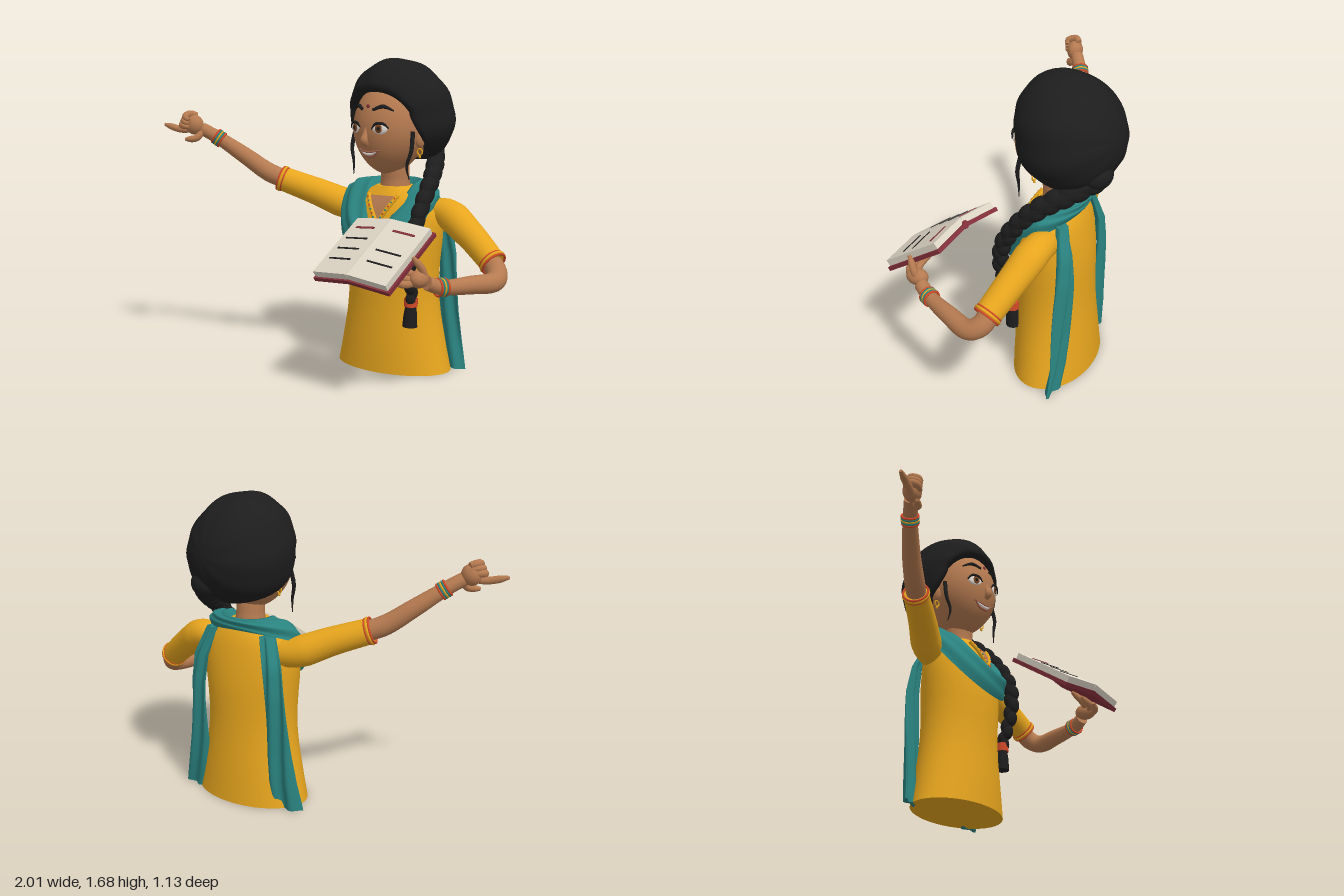
import * as THREE from 'three';

const V = (x, y, z) => new THREE.Vector3(x, y, z);
const TAU = Math.PI * 2;

function material(name, color, open) {
  const m = new THREE.MeshStandardMaterial({ color, side: open ? THREE.DoubleSide : THREE.FrontSide });
  m.name = name;
  return m;
}

// Skin a surface over closed rings of points, optionally capping both ends
function loft(rings, caps = true) {
  const n = rings[0].length, pos = [], idx = [];
  rings.forEach(r => r.forEach(p => pos.push(p.x, p.y, p.z)));
  for (let i = 0; i < rings.length - 1; i++) for (let j = 0; j < n; j++) {
    const a = i * n + j, b = i * n + (j + 1) % n;
    idx.push(a, b, b + n, a, b + n, a + n);
  }
  if (caps) [rings[0], rings[rings.length - 1]].forEach((r, end) => {
    const base = pos.length / 3, mid = V(0, 0, 0);
    r.forEach(p => { pos.push(p.x, p.y, p.z); mid.addScaledVector(p, 1 / n); });
    pos.push(mid.x, mid.y, mid.z);
    for (let j = 0; j < n; j++) {
      const a = base + j, b = base + (j + 1) % n;
      end ? idx.push(a, b, base + n) : idx.push(b, a, base + n);
    }
  });
  const g = new THREE.BufferGeometry();
  g.setAttribute('position', new THREE.Float32BufferAttribute(pos, 3));
  g.setIndex(idx);
  g.computeVertexNormals();
  return g;
}

const ring = (n, f) => Array.from({ length: n }, (_, j) => f(j / n * TAU));
const mix = THREE.MathUtils.lerp;

// Sample a list of numbers at u in 0..1
function sample(list, u) {
  const t = u * (list.length - 1), i = Math.min(Math.floor(t), list.length - 2);
  return mix(list[i], list[i + 1], t - i);
}

// Tapered tube through points
function limb(points, radii, seg = 20, sides = 14) {
  const curve = new THREE.CatmullRomCurve3(points.map(p => V(...p)));
  const fr = curve.computeFrenetFrames(seg, false), rings = [];
  for (let i = 0; i <= seg; i++) {
    const c = curve.getPointAt(i / seg), r = sample(radii, i / seg);
    rings.push(ring(sides, a => c.clone().addScaledVector(fr.normals[i], r * Math.cos(a)).addScaledVector(fr.binormals[i], r * Math.sin(a))));
  }
  return loft(rings);
}

export function createModel() {
  const model = new THREE.Group();
  const skin = material('skin', 0xb57a50), hairMat = material('black hair', 0x1d1d1d, true);
  const yellow = material('marigold cloth', 0xe8a61e), teal = material('teal cloth', 0x2a8380, true);
  const maroon = material('maroon', 0x84303a), cream = material('paper', 0xe0d8c8);
  const orange = material('orange trim', 0xd24a28), brown = material('brown iris', 0x7a4420);
  const lip = material('lips', 0xa0604a), white = material('eye white', 0xe8e0da);

  const add = (parent, name, geo, mat) => {
    const m = new THREE.Mesh(geo, mat);
    m.name = name;
    parent.add(m);
    return m;
  };
  const ball = (parent, name, p, s, mat) => {
    const m = add(parent, name, new THREE.SphereGeometry(1, 24, 16), mat);
    m.position.set(...p);
    m.scale.set(...s);
    return m;
  };
  // Ring worn around a limb
  const band = (name, p, dir, r, tube, mat) => {
    const m = add(model, name, new THREE.TorusGeometry(r, tube, 8, 28), mat);
    m.position.copy(p);
    m.quaternion.setFromUnitVectors(V(0, 0, 1), dir);
  };

  // Torso: y, half width, centre z, half depth
  const body = [[0, .335, -.225, .215], [.1, .312, -.222, .212], [.2, .292, -.22, .208], [.3, .273, -.218, .202], [.4, .262, -.215, .198],
    [.5, .26, -.212, .198], [.6, .267, -.21, .2], [.7, .28, -.21, .195], [.8, .29, -.21, .18], [.87, .285, -.213, .162], [.92, .25, -.217, .145], [.96, .19, -.22, .122], [1, .1, -.22, .1]];
  add(model, 'tunic', loft(body.map(([y, rx, cz, rz]) => ring(56, a => V(.278 + rx * Math.sin(a), y, cz + rz * Math.cos(a))))), yellow);
  add(model, 'neck', limb([[.278, .92, -.22], [.278, 1.02, -.22], [.28, 1.15, -.21]], [.09, .078, .078]), skin);

  // Neckline: skin patch, trim and beads
  const neckZ = y => y < .9 ? mix(-.028, -.06, (y - .8) / .1) : mix(-.06, -.1, (y - .9) / .06);
  const patch = new THREE.BufferGeometry().setFromPoints([[0, .82], [.05, .9], [-.05, .9], [.08, .955], [-.08, .955]].map(([x, y]) => V(.278 + x, y, neckZ(y) + .01)));
  patch.setIndex([0, 1, 2, 2, 1, 3, 2, 3, 4]);
  patch.computeVertexNormals();
  add(model, 'neckOpening', patch, skin);
  for (const s of [-1, 1]) {
    const pts = [[0, .81], [.054, .9], [.09, .96]].map(([x, y]) => [.278 + s * x, y, neckZ(y) + .008]);
    add(model, 'necklineTrim', limb(pts, [.012, .012], 10, 8), yellow);
    for (let i = 0; i < 7; i++) {
      const y = .825 + i * .02, x = (y - .81) * .6;
      ball(model, 'necklineBead', [.278 + s * x, y, neckZ(y) + .019], [.006, .006, .005], i % 2 ? teal : orange);
    }
  }

  // Scarf: draped cowl
  const cowl = (a, t) => {
    const s = Math.sin(a), c = Math.cos(a), f = Math.max(0, c), back = Math.max(0, -c);
    const hem = V(.278 + (s < 0 ? .318 : .27) * s * (1 - .25 * back), .91 - .29 * f + .06 * back, -.22 + (c > 0 ? .245 : .15) * c);
    const neck = V(.278 + .135 * s, 1.03 - .25 * f * f, -.22 + .125 * c + .1 * f * f);
    const p = hem.lerp(neck, t), b = Math.sin(t * Math.PI) * mix(.042, .025, back) + .005 * Math.sin(t * 16 + a * 2);
    return p.add(V(s * b, b * .75, c * b));
  };
  const cowlRings = Array.from({ length: 23 }, (_, i) => ring(64, a => cowl(a, i / 22)));
  cowlRings.push(ring(64, a => cowl(a, 1).add(V(-.025 * Math.sin(a), -.04, -.025 * Math.cos(a)))));
  add(model, 'scarfDrape', loft(cowlRings, false), teal);

  // Scarf: hanging ends
  for (const s of [-1, 1]) {
    const rings = [];
    for (let i = 0; i <= 24; i++) {
      const u = i / 24, y = u * .95;
      const cx = sample([.308, .283, .267, .26, .252, .232, .18], u), w = sample([.08, .076, .072, .066, .06, .052, .035], u);
      const cz = sample([-.33, -.345, -.352, -.36, -.368, -.36, -.32], u);
      rings.push(ring(32, a => {
        const k = Math.sin(a);
        return V(.278 + s * cx + w * k, y, cz + .015 * Math.cos(a) + .013 * Math.sin(k * 5 + y * 6) + s * k * .012);
      }));
    }
    add(model, 'scarfEnd', loft(rings), teal);
  }

  // Arms, cuffs and bangles
  const arms = [
    { sleeve: [[.1, .84, -.25], [-.03, .865, -.235], [-.2, .935, -.165], [-.39, 1.005, -.09]],
      fore: [[-.34, .99, -.11], [-.45, 1.035, -.06], [-.58, 1.13, .0], [-.71, 1.23, .075], [-.79, 1.285, .13]] },
    { sleeve: [[.47, .85, -.25], [.58, .865, -.24], [.74, .775, -.19], [.91, .65, -.125]],
      fore: [[.86, .69, -.14], [.935, .61, -.11], [.955, .575, -.05], [.89, .575, .1], [.81, .582, .25], [.77, .61, .32]] },
  ];
  for (const { sleeve, fore } of arms) {
    add(model, 'sleeve', limb(sleeve, [.07, .085, .075, .068], 24, 24), yellow);
    add(model, 'forearm', limb(fore, [.052, .054, .05, .045, .038, .036], 30, 18), skin);
    const end = V(...sleeve[3]), dir = end.clone().sub(V(...sleeve[2])).normalize();
    [[-.02, orange, .005], [-.008, yellow, .009], [.004, orange, .006]].forEach(([d, m, t]) => band('sleeveCuff', end.clone().addScaledVector(dir, d), dir, .067, t, m));
    const wrist = V(...fore[fore.length - 2]), wd = wrist.clone().sub(V(...fore[fore.length - 3])).normalize();
    [orange, teal, yellow, teal, orange].forEach((m, i) => band('bangle', wrist.clone().addScaledVector(wd, (i - 2) * .01), wd, .042, .006, m));
  }

  // Pointing hand
  const finger = (name, pts, r) => add(model, name, limb(pts, [r * .8, r, r, r * .95, r * .45], 14, 10), skin);
  ball(model, 'pointingPalm', [-.82, 1.305, .155], [.055, .056, .045], skin);
  finger('indexFinger', [[-.83, 1.28, .16], [-.9, 1.28, .185], [-1, 1.305, .205]], .02);
  for (let i = 0; i < 3; i++) finger('curledFinger', [[-.82, 1.31 + .024 * i, .13], [-.875 + .012 * i, 1.318 + .024 * i, .165], [-.865 + .012 * i, 1.305 + .022 * i, .21], [-.82, 1.295 + .02 * i, .205]], .021);
  finger('thumb', [[-.78, 1.28, .14], [-.79, 1.235, .17], [-.85, 1.225, .205]], .02);

  // Hand under the book
  ball(model, 'holdingPalm', [.745, .635, .355], [.045, .045, .06], skin);
  finger('holdingFinger', [[.74, .62, .37], [.7, .615, .43], [.64, .635, .45]], .019);
  finger('holdingFinger', [[.74, .63, .37], [.69, .64, .41], [.61, .675, .39]], .019);
  finger('holdingFinger', [[.74, .645, .36], [.69, .665, .37], [.61, .715, .335]], .019);
  finger('holdingThumb', [[.765, .62, .34], [.765, .68, .36], [.735, .745, .4]], .019);

  // Open book: two wings sharing the spine
  const top = V(.51, .89, .22), bottom = V(.453, .66, .545);
  for (const [s, outer] of [[-1, V(.262, .87, .155)], [1, V(.757, .865, .245)]]) {
    const Z = bottom.clone().sub(top).normalize(), X0 = outer.clone().sub(top).multiplyScalar(s);
    const Y = Z.clone().cross(X0).normalize(), X = Y.clone().cross(Z);
    const wing = new THREE.Group();
    wing.name = s < 0 ? 'bookRightHalf' : 'bookLeftHalf';
    wing.position.copy(top);
    wing.quaternion.setFromRotationMatrix(new THREE.Matrix4().makeBasis(X, Y, Z));
    model.add(wing);
    const slab = (name, w, h, d, x, y, z, m) => add(wing, name, new THREE.BoxGeometry(w, h, d), m).position.set(s * x, y, z);
    slab('cover', .25, .022, .425, .125, -.046, .205, maroon);
    slab('pages', .235, .035, .405, .12, -.0175, .205, cream);
    slab('heading', .13, .004, .012, .125, .001, .075, maroon);
    (s < 0 ? [.155, .23, .305] : [.215, .295]).forEach(z => slab('textLine', .15, .004, .009, .125, .001, z, hairMat));
  }
  add(model, 'bookSpine', limb([top, top.clone().lerp(bottom, .5), bottom].map(p => [p.x, p.y - .036, p.z - .027]), [.022, .022]), maroon);

  // Head, turned a little to its right
  const head = new THREE.Group();
  head.name = 'head';
  head.position.set(.28, 1.4, -.285);
  head.rotation.y = -.2;
  model.add(head);
  const taper = y => 1 - .22 * Math.pow(Math.max(0, -(y + .09) / .25), 2);
  const faceZ = (x, y) => .1 + .195 * Math.sqrt(Math.max(0, 1 - (x / .198 / taper(y)) ** 2 - ((y + .09) / .25) ** 2));
  const skull = new THREE.SphereGeometry(1, 48, 36).scale(.198, .25, .195).translate(0, -.09, .1);
  const sp = skull.attributes.position;
  for (let i = 0; i < sp.count; i++) sp.setX(i, sp.getX(i) * taper(sp.getY(i)));
  skull.computeVertexNormals();
  add(head, 'face', skull, skin);
  ball(head, 'napeOfHead', [0, -.12, 0], [.15, .16, .17], skin);
  const onFace = (pts, lift) => pts.map(([x, y]) => [x, y, faceZ(x, y) + lift]);
  for (const s of [-1, 1]) {
    const eye = new THREE.Group();
    eye.name = 'eye';
    eye.position.set(s * .085, -.083, faceZ(.085, -.083) - .003);
    eye.rotation.y = s * .32;
    head.add(eye);
    ball(eye, 'eyeWhite', [0, 0, 0], [.044, .03, .012], white);
    ball(eye, 'iris', [-s * .004, 0, .008], [.022, .023, .006], brown);
    ball(eye, 'pupil', [-s * .004, 0, .012], [.01, .011, .004], hairMat);
    add(eye, 'upperLash', limb([[-.048, -.004, .002], [-.022, .024, .008], [.022, .025, .008], [.05, .002, .002]], [.004, .008, .008, .004], 14, 8), hairMat);
    add(head, 'eyebrow', limb(onFace([[s * .035, .012], [s * .085, .03], [s * .135, .008]], .001), [.008, .012, .004], 14, 8), hairMat);
    ball(head, 'ear', [s * .188, -.14, .07], [.022, .05, .035], skin);
    const hoop = add(head, 'earring', new THREE.TorusGeometry(.017, .004, 8, 20), yellow);
    hoop.position.set(s * .195, -.21, .08);
    ball(head, 'earringDrop', [s * .195, -.235, .08], [.007, .01, .007], yellow);
    add(head, 'looseStrand', limb([[s * .205, -.1, .15], [s * .212, -.2, .17], [s * .19, -.28, .18], [s * .2, -.35, .17]], [.012, .011, .008, .002], 18, 8), hairMat);
  }
  add(head, 'nose', limb([[0, -.08, faceZ(0, -.08) - .008], [0, -.12, faceZ(0, -.12) + .002], [0, -.15, faceZ(0, -.15) + .014], [0, -.172, faceZ(0, -.172) - .004]], [.008, .014, .022, .014], 16, 12), skin);
  ball(head, 'foreheadDot', [0, .03, faceZ(0, .03) + .001], [.011, .011, .005], maroon);
  const smile = (d, w) => onFace([[-w, -.198], [-w / 2, -.214 - d], [0, -.219 - d], [w / 2, -.214 - d], [w, -.198]], .001);
  add(head, 'upperLip', limb(smile(-.008, .076), [.003, .006, .006, .003], 16, 8), lip);
  add(head, 'teeth', limb(smile(.002, .064), [.002, .008, .008, .002], 16, 8), white);
  add(head, 'lowerLip', limb(smile(.014, .066), [.003, .007, .007, .003], 16, 8), lip);

  // Hair: shell swept back from the face opening, fuller low down and leaning forward on top
  const hairPoint = (phi, t, k) => {
    const s = Math.cos(phi), open = s > 0 ? .84 - .38 * s : .84 + 1.1 * s * s;
    const th = mix(open, Math.PI, t);
    const r = k * (1 + .012 * Math.sin(phi * 9 + th * 2) * Math.sin(th));
    const h = Math.sin(th) * s, low = Math.max(0, -h), high = Math.max(0, h);
    return V(.29 * Math.sin(th) * Math.sin(phi) * r * (1 + .16 * low - .06 * high), .28 * h * r * (1 + .06 * low),
      .272 * Math.cos(th) * r * (1 + .12 * low) + .045 * high - .01 * low);
  };
  const hairRings = [ring(72, p => hairPoint(p, 0, .7)), ring(72, p => hairPoint(p, 0, .95))];
  for (let i = 0; i <= 32; i++) hairRings.push(ring(72, p => hairPoint(p, .02 + .979 * i / 32, 1)));
  add(head, 'hair', loft(hairRings, false), hairMat);

  // Braid over the left shoulder, with tie and tail
  ball(model, 'braidRoot', [.37, 1.23, -.46], [.09, .075, .08], hairMat);
  const path = [[.38, 1.22, -.48], [.45, 1.14, -.36], [.5, 1.05, -.22], [.512, .94, -.11], [.51, .8, -.02], [.497, .65, .005], [.482, .42, -.05]];
  const curve = new THREE.CatmullRomCurve3(path.map(p => V(...p))), count = 26, frames = curve.computeFrenetFrames(count, false);
  add(model, 'braidCore', limb(path, [.052, .045, .038, .03, .024], 40, 12), hairMat);
  for (let i = 0; i <= count; i++) {
    const u = i / count, r = mix(.049, .03, u);
    const p = curve.getPointAt(u).addScaledVector(frames.binormals[i], (i % 2 ? 1 : -1) * r * .3);
    const lobe = ball(model, 'braidLobe', [p.x, p.y, p.z], [r, r, r * 1.45], hairMat);
    lobe.quaternion.setFromUnitVectors(V(0, 0, 1), frames.tangents[i]);
  }
  const tie = add(model, 'braidTie', new THREE.CylinderGeometry(.036, .036, .045, 20), orange);
  tie.position.set(.478, .405, -.05);
  add(model, 'braidTail', limb([[.478, .4, -.05], [.475, .34, -.05], [.472, .272, -.05]], [.026, .036, .04], 10, 12), hairMat);

  return model;
}
